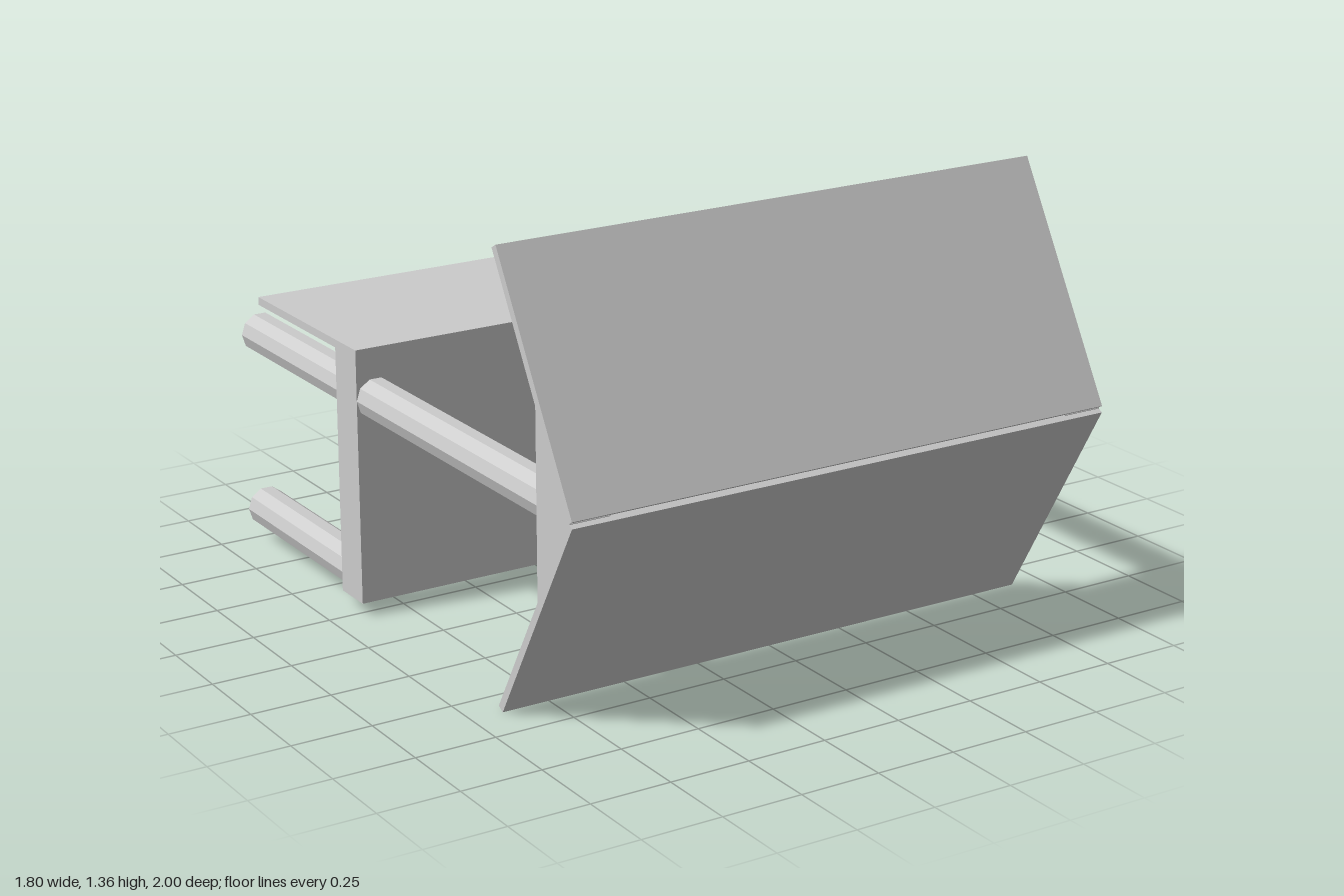
import * as THREE from 'three';

const WIDTH = 1.8;       // full span in x
const MID_Y = 0.678;     // height of the chevron's ridge and the upper rods
const ROD_R = 0.0635;
const ROD_X = WIDTH / 2 - ROD_R;

const material = new THREE.MeshStandardMaterial({ color: 0xcccccc, flatShading: true });

export function createModel() {
  const model = new THREE.Group();

  const add = (name, geometry, x = 0, y = 0, z = 0) => {
    const mesh = new THREE.Mesh(geometry, material);
    mesh.name = name;
    mesh.position.set(x, y, z);
    model.add(mesh);
    return mesh;
  };

  // Extrudes a [z, y] outline along x, centred on x = 0
  const extrudeAcross = (points, depth) => {
    const shape = new THREE.Shape(points.map(([z, y]) => new THREE.Vector2(z, y)));
    return new THREE.ExtrudeGeometry(shape, { depth, bevelEnabled: false })
      .translate(0, 0, -depth / 2)
      .rotateY(-Math.PI / 2);
  };

  // Ten-sided rod running along z
  const rod = (name, x, y, zFront, zBack) => {
    const geometry = new THREE.CylinderGeometry(ROD_R, ROD_R, zFront - zBack, 10, 1, false, Math.PI / 2)
      .rotateX(Math.PI / 2);
    add(name, geometry, x, y, (zFront + zBack) / 2);
  };

  // Two thin boards leaning back 30 degrees from a shared ridge
  const length = 0.771, thick = 0.025, lean = Math.PI / 6;
  const along = [-Math.sin(lean) * length, Math.cos(lean) * length];
  const inward = [-Math.cos(lean) * thick, -Math.sin(lean) * thick];
  for (const [name, s] of [['upperFrontBoard', 1], ['lowerFrontBoard', -1]]) {
    const corners = [[0, 0], along, [along[0] + inward[0], along[1] + inward[1]], inward]
      .map(([z, y]) => [1 + z, MID_Y + s * (0.01 + y)]);
    add(name, extrudeAcross(corners, WIDTH));
  }

  // Upright panel with a shelf reaching back from its top
  add('uprightPanel', new THREE.BoxGeometry(WIDTH, 0.77, 0.13), 0, 0.425, -0.29);
  add('topShelf', new THREE.BoxGeometry(WIDTH, 0.025, 0.645), 0, 0.8225, -0.5475);

  // Triangular brackets and rods, mirrored left and right
  for (const [side, s] of [['left', 1], ['right', -1]]) {
    const bracket = [[0.987, MID_Y], [0.815, MID_Y + 0.297], [0.815, MID_Y - 0.297]];
    add(side + 'Bracket', extrudeAcross(bracket, 2 * ROD_R), s * ROD_X);
    rod(side + 'UpperRod', s * ROD_X, MID_Y, 0.815, -1);
    rod(side + 'LowerRod', s * ROD_X, 0.1, -0.3, -1);
  }

  return model;
}
